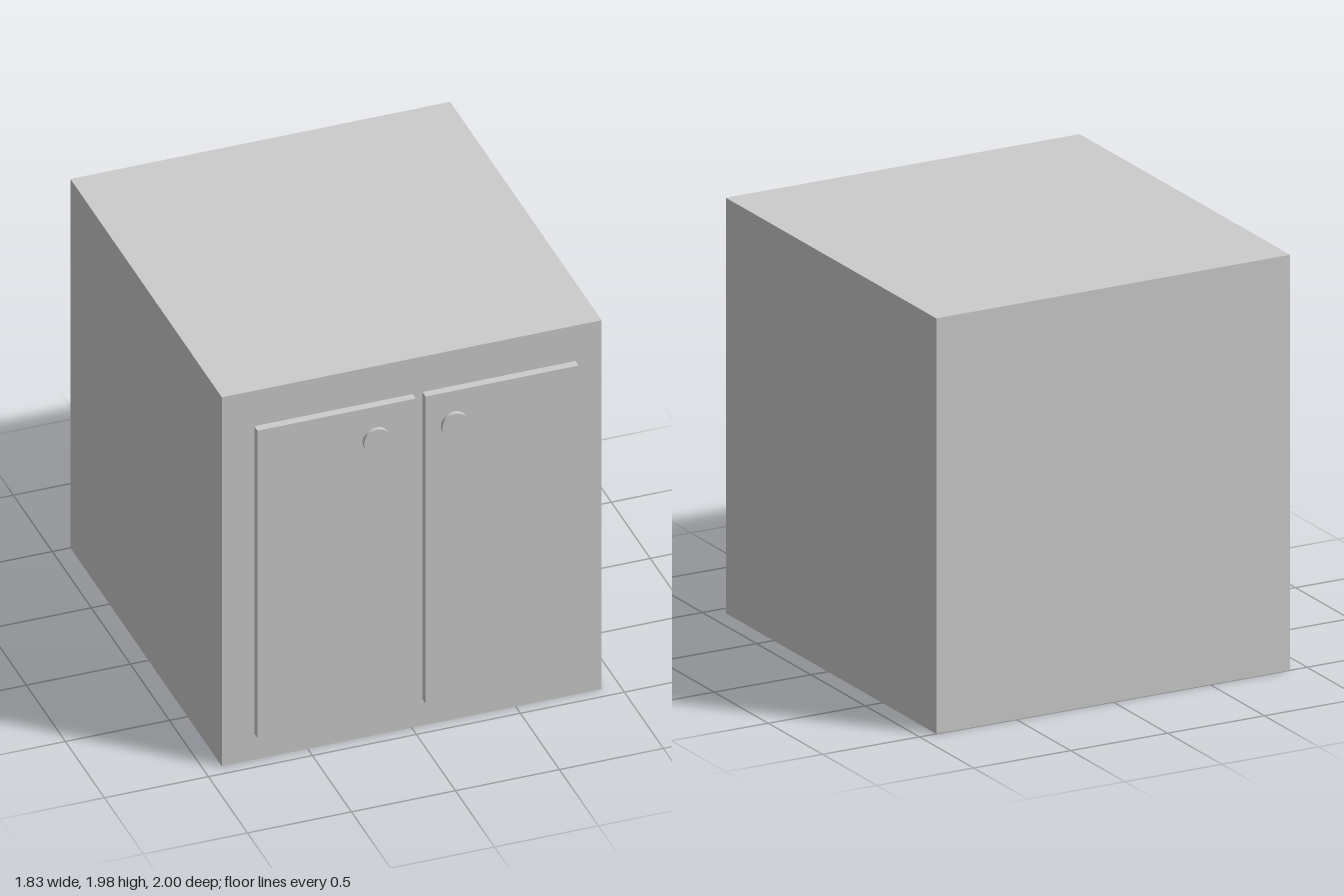
import * as THREE from 'three';

export function createModel() {
  const model = new THREE.Group();
  model.name = 'cabinet';
  const material = new THREE.MeshStandardMaterial({ color: 0xcccccc });

  const add = (name, geometry, x, y, z) => {
    const mesh = new THREE.Mesh(geometry, material);
    mesh.name = name;
    mesh.position.set(x, y, z);
    model.add(mesh);
  };

  // Box given by its minimum and maximum corners
  const addBox = (name, [x0, y0, z0], [x1, y1, z1]) =>
    add(name, new THREE.BoxGeometry(x1 - x0, y1 - y0, z1 - z0),
      (x0 + x1) / 2, (y0 + y1) / 2, (z0 + z1) / 2);

  // Cabinet body
  const front = 0.94, doorFront = 0.98, knobFront = 1;
  addBox('body', [-0.913, 0, -1], [0.913, 1.975, front]);

  // Two doors of slightly different width, each with a round knob
  const doors = [
    { side: 'right', x0: -0.757, x1: 0.005, knobX: -0.187 },
    { side: 'left', x0: 0.052, x1: 0.788, knobX: 0.189 },
  ];
  for (const { side, x0, x1, knobX } of doors) {
    addBox(`${side}Door`, [x0, 0.14, front], [x1, 1.785, doorFront]);
    const knob = new THREE.CylinderGeometry(0.064, 0.064, knobFront - doorFront, 48);
    knob.rotateX(Math.PI / 2);
    add(`${side}Knob`, knob, knobX, 1.61, (doorFront + knobFront) / 2);
  }

  return model;
}
